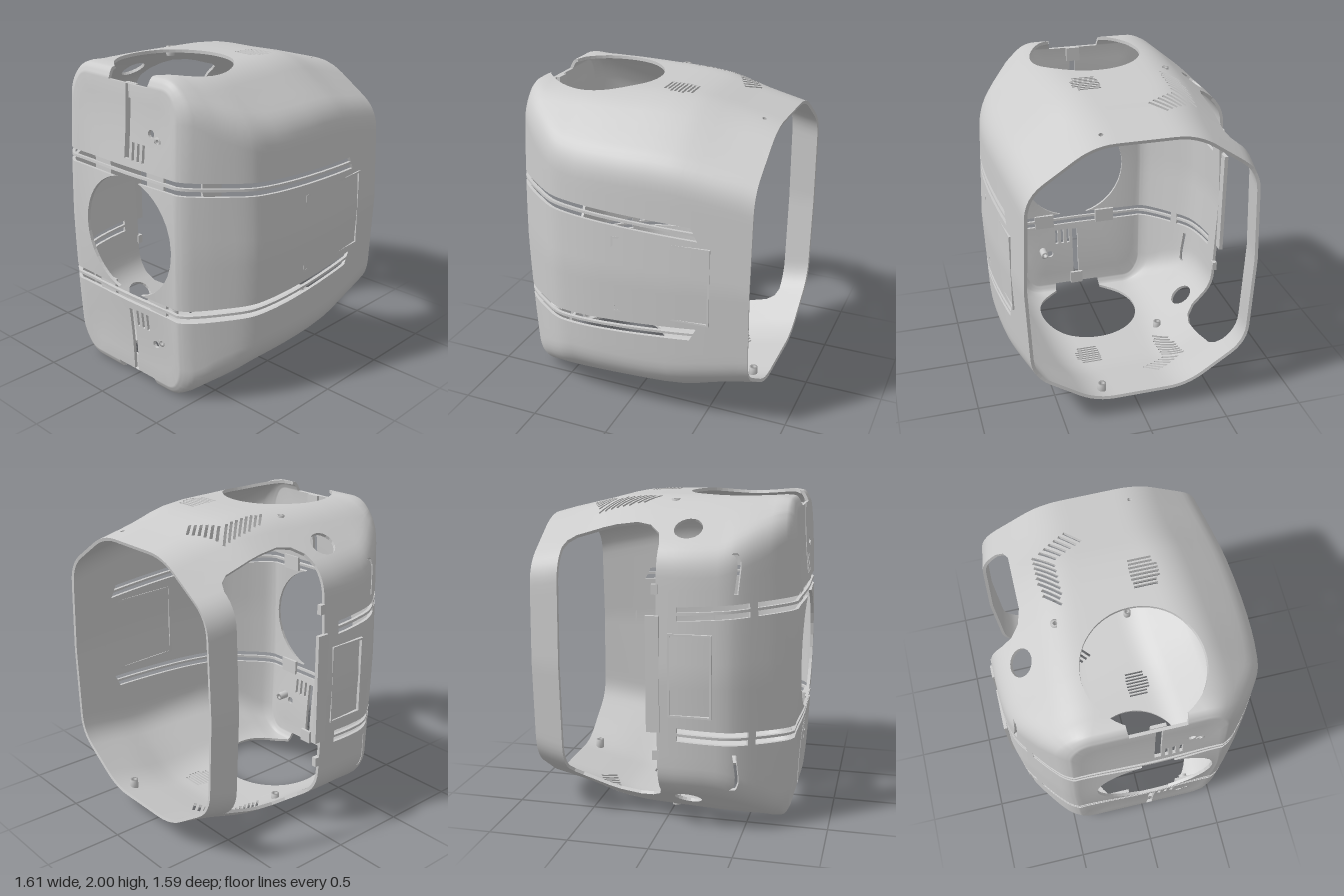
import * as THREE from 'three';

const V = (x, y, z) => new THREE.Vector3(x, y, z);
const mat = new THREE.MeshStandardMaterial({ color: 0xcccccc, side: THREE.DoubleSide });
const WALL = 0.02, N = 28;

// Shell stations: z at sides, z at top, half width, half height, top flat half width, side half height
const stations = [
  [0.785, 0.75, 0.46, 0.93, 0.38, 0.82], [0.765, 0.728, 0.50, 0.975, 0.39, 0.84],
  [0.72, 0.695, 0.55, 0.995, 0.40, 0.85], [0.58, 0.58, 0.665, 1.0, 0.40, 0.80],
  [0.45, 0.45, 0.755, 1.0, 0.40, 0.74], [0.35, 0.35, 0.785, 1.0, 0.40, 0.71],
  [0.1, 0.1, 0.805, 0.998, 0.38, 0.70], [-0.3, -0.3, 0.785, 0.985, 0.34, 0.69],
  [-0.55, -0.55, 0.755, 0.925, 0.30, 0.65], [-0.8, -0.8, 0.72, 0.865, 0.30, 0.60]];
const spline = new THREE.CubicInterpolant(stations.map(s => -s[0]), stations.flat(), 6);

// One quarter of a section, from the side to the top, with rounded corners
function quarter(w, h, a, b) {
  const P = V(w, 0, 0), B = V(w * 0.965, b, 0), A = V(a, h, 0), T = V(0, h, 0);
  const r = Math.min(0.13, B.distanceTo(A) * 0.45);
  const toward = (p, q) => p.clone().addScaledVector(q.clone().sub(p).normalize(), r);
  const b1 = toward(B, P), b2 = toward(B, A), a1 = toward(A, B), a2 = toward(A, T);
  const parts = [[new THREE.LineCurve3(P, b1), 8], [new THREE.QuadraticBezierCurve3(b1, B, b2), 6],
    [new THREE.LineCurve3(b2, a1), 3], [new THREE.QuadraticBezierCurve3(a1, A, a2), 6], [new THREE.LineCurve3(a2, T), 5]];
  return [P, ...parts.flatMap(([c, n]) => c.getPoints(n).slice(1))];
}

function ring(t) {
  const [zs, zt, w, h, a, b] = Array.from(spline.evaluate(t)), q = quarter(w, h, a, b), pts = [];
  for (let j = 0; j < 4 * N; j++) {
    const k = Math.floor(j / N), m = j % N, p = q[k % 2 ? N - m : m];
    pts.push(V(p.x * (k === 1 || k === 2 ? -1 : 1), 1 + p.y * (k > 1 ? -1 : 1), zs + (zt - zs) * (p.y / h) ** 2));
  }
  return pts;
}

// Convex hole as planes around a 2D outline, running along one axis
function prism(pts, axis, ...extra) {
  const to3 = (a, b) => axis === 'y' ? V(a, 0, b) : axis === 'z' ? V(a, b, 0) : V(0, b, a);
  const c = pts.reduce((s, p) => s.add(to3(...p)), V(0, 0, 0)).divideScalar(pts.length);
  const planes = pts.map((p, i) => {
    const q = pts[(i + 1) % pts.length];
    const n = to3(q[1] - p[1], p[0] - q[0]).normalize();
    if (n.dot(c.clone().sub(to3(...p))) > 0) n.negate();
    return new THREE.Plane().setFromNormalAndCoplanarPoint(n, to3(...p));
  });
  return [...planes, ...extra];
}
const oval = (x, y, rx, ry = rx, n = 12) => Array.from({ length: n }, (_, i) =>
  [x + rx * Math.cos(i / n * 2 * Math.PI), y + ry * Math.sin(i / n * 2 * Math.PI)]);
const slot = (x, y, l, w, ang = 0) => [[-1, -1], [1, -1], [1, 1], [-1, 1]].map(([i, j]) => [
  x + i * l / 2 * Math.cos(ang) - j * w / 2 * Math.sin(ang), y + i * l / 2 * Math.sin(ang) + j * w / 2 * Math.cos(ang)]);
const frontOnly = new THREE.Plane(V(0, 0, -1), 0.4);

function makeHoles() {
  const holes = [];
  // Round top and bottom openings, side cutout, oval port
  holes.push(prism(oval(0.05, 0.385, 0.355, 0.355, 56), 'y'));
  holes.push(prism([[-0.95, -0.62], [-0.62, -0.62], [-0.575, -0.6], [-0.55, -0.55], [-0.55, -0.17], [-0.575, -0.08],
    [-0.63, -0.02], [-0.7, 0], [-0.95, 0]], 'y'));
  holes.push(prism(oval(-0.605, 0.15, 0.065, 0.085, 20), 'y'));
  // Top and bottom vents
  for (let i = 0; i < 8; i++) holes.push(prism(slot(0.18 + (i > 1 && i < 6 ? 0.01 : 0), -0.255 + i * 0.0245, i > 1 && i < 6 ? 0.17 : 0.14, 0.013), 'y'));
  for (let i = 0; i < 6; i++) holes.push(prism(slot(-0.16 - i * 0.033, -0.505 + i * 0.017, 0.125, 0.018, Math.PI / 4), 'y'));
  for (let i = 0; i < 8; i++) holes.push(prism(slot(-0.355, -0.39 + i * 0.038, i > 5 ? 0.13 : 0.17, 0.016, Math.PI / 4), 'y'));
  for (const [x, z] of [[0.235, -0.7], [-0.37, 0.02]]) holes.push(prism(oval(x, z, 0.014), 'y'));
  for (const s of [1, -1]) {
    const my = pts => pts.map(([a, b]) => [a, 1 + s * (b - 1)]);
    // Front notch, centre slit, vents, screw holes, narrow corner slot
    holes.push(prism(my([[-0.12, 1.93], [0.21, 1.93], [0.23, 2.1], [-0.14, 2.1]]), 'z', new THREE.Plane(V(0, 0, -1), 0.6)));
    holes.push(prism(my(slot(0.05, 1.71, 0.04, 0.44)), 'z', frontOnly));
    for (const x of [0.103, 0.147, 0.19]) holes.push(prism(my(slot(x, 1.54, 0.02, 0.11)), 'z', frontOnly));
    holes.push(prism(my(oval(0.247, 1.672, 0.025)), 'z', frontOnly), prism(my(oval(0.3, 1.638, 0.014)), 'z', frontOnly));
    holes.push(prism(my([[-0.74, 1.48], [-0.728, 1.48], [-0.708, 1.71], [-0.718, 1.71]]), 'z', frontOnly));
    // Twin belt slots wrapping round the front and sides
    for (const [lo, hi] of [[-0.042, -0.009], [0.007, 0.04]]) {
      const y = (z, d) => 1.356 + 0.058 * z + d;
      const belt = (back, sl) => my([[0.9, y(0.9, lo)], [0.9, y(0.9, hi)], [back + sl * hi, y(back, hi)], [back + sl * lo, y(back, lo)]]);
      holes.push(prism(belt(-0.47, 0.5), 'x', new THREE.Plane(V(-1, 0, 0), -0.66)));
      holes.push(prism(belt(0.12, 0), 'x', new THREE.Plane(V(1, 0, 0), 0.69)));
    }
  }
  return holes;
}

function split(poly, plane) {
  const inside = [], outside = [];
  poly.forEach((a, i) => {
    const b = poly[(i + 1) % poly.length], da = plane.distanceToPoint(a.p), db = plane.distanceToPoint(b.p);
    if (da <= 0) inside.push(a);
    if (da >= 0) outside.push(a);
    if (da * db < 0) {
      const t = da / (da - db), c = { p: a.p.clone().lerp(b.p, t), n: a.n.clone().lerp(b.n, t) };
      inside.push(c); outside.push(c);
    }
  });
  return [inside, outside];
}

// Subtract a convex hole from a polygon and note the cut edges
function cut(poly, planes, edges, hole) {
  if (planes.some(pl => poly.every(v => pl.distanceToPoint(v.p) >= 0))) return [poly];
  const out = [];
  let rest = poly;
  for (const pl of planes) {
    const [i, o] = split(rest, pl);
    if (i.length < 3) return [poly];
    if (o.length > 2) out.push(o);
    rest = i;
  }
  rest.forEach((a, i) => {
    const b = rest[(i + 1) % rest.length];
    if (planes.some(pl => Math.abs(pl.distanceToPoint(a.p)) < 1e-6 && Math.abs(pl.distanceToPoint(b.p)) < 1e-6)) edges.push([a, b, hole]);
  });
  return out;
}

function shellGeometry() {
  // Rings run from the round front opening over the face and back to the rear rim
  const rows = [], face = ring(-stations[0][0]);
  for (let i = 0; i < 7; i++) rows.push(face.map(p => {
    const f = i / 6, ang = Math.atan2(p.y - 1, p.x - 0.05);
    const x = THREE.MathUtils.lerp(0.05 + 0.375 * Math.cos(ang), p.x, f), y = THREE.MathUtils.lerp(1 + 0.375 * Math.sin(ang), p.y, f);
    return V(x, y, THREE.MathUtils.lerp(0.8 - 0.058 * (y - 1) ** 2 - 0.07 * x * x, p.z, f));
  }));
  for (let s = 1; s < stations.length; s++) for (let k = 1; k <= 3; k++)
    rows.push(ring(-THREE.MathUtils.lerp(stations[s - 1][0], stations[s][0], k / 3)));
  const M = 4 * N, pts = rows.flat(), index = [];
  for (let i = 0; i < rows.length - 1; i++) for (let j = 0; j < M; j++) {
    const a = i * M + j, b = a + M, c = i * M + (j + 1) % M, d = c + M;
    index.push(a, b, c, c, b, d);
  }
  const grid = new THREE.BufferGeometry().setFromPoints(pts);
  grid.setIndex(index);
  grid.computeVertexNormals();
  const verts = pts.map((p, i) => ({ p, n: V(0, 0, 0).fromBufferAttribute(grid.attributes.normal, i) }));

  const holes = makeHoles(), edges = [], pos = [], nor = [];
  const put = (p, n) => { pos.push(p.x, p.y, p.z); nor.push(n.x, n.y, n.z); };
  const inner = v => v.p.clone().addScaledVector(v.n, -WALL);
  for (let i = 0; i < index.length; i += 3) {
    let polys = [[verts[index[i]], verts[index[i + 1]], verts[index[i + 2]]]];
    holes.forEach((h, k) => { polys = polys.flatMap(p => cut(p, h, edges, k)); });
    for (const poly of polys) for (let k = 1; k < poly.length - 1; k++) {
      const tri = [poly[0], poly[k], poly[k + 1]];
      tri.forEach(v => put(v.p, v.n));
      tri.reverse().forEach(v => put(inner(v), v.n.clone().negate()));
    }
  }
  // Wall thickness along rims and cut edges
  for (const r of [0, rows.length - 1]) for (let j = 0; j < M; j++) edges.push([verts[r * M + j], verts[r * M + (j + 1) % M], -1]);
  for (const [a, b, hole] of edges) {
    const mid = a.p.clone().lerp(b.p, 0.5);
    if (holes.some((h, k) => k !== hole && h.every(pl => pl.distanceToPoint(mid) < -1e-6))) continue;
    const ai = inner(a), bi = inner(b), n = b.p.clone().sub(a.p).cross(ai.clone().sub(a.p)).normalize();
    [a.p, ai, b.p, b.p, ai, bi].forEach(p => put(p, n));
  }
  const g = new THREE.BufferGeometry();
  g.setAttribute('position', new THREE.Float32BufferAttribute(pos, 3));
  g.setAttribute('normal', new THREE.Float32BufferAttribute(nor, 3));
  return g;
}

export function createModel() {
  const group = new THREE.Group();
  const add = (name, geo, x, y, z) => {
    const m = new THREE.Mesh(geo, mat);
    m.name = name; m.position.set(x, y, z); group.add(m);
    return m;
  };
  add('housingShell', shellGeometry(), 0, 0, 0);

  // Hollow screw posts
  const post = len => new THREE.LatheGeometry([[0.013, 0], [0.027, 0], [0.027, len], [0.013, len], [0.013, 0]].map(p => new THREE.Vector2(...p)), 16);
  // Raised rectangular frame lying in a side wall
  const frame = (w, h, d) => {
    const rect = (a, b) => [[-a, -b], [a, -b], [a, b], [-a, b]].map(p => new THREE.Vector2(...p));
    const s = new THREE.Shape(rect(w / 2, h / 2));
    s.holes.push(new THREE.Path(rect(w / 2 - 0.012, h / 2 - 0.012)));
    return new THREE.ExtrudeGeometry(s, { depth: d, bevelEnabled: false }).translate(0, 0, -d / 2).rotateY(Math.PI / 2);
  };
  for (const s of [1, -1]) {
    for (const [x, y, z] of [[0.235, 0.87, -0.7], [-0.37, 0.98, 0.02]])
      add('screwPost', post(0.06), x, 1 + s * y, z).rotation.x = s > 0 ? Math.PI : 0;
    add('frontPost', post(0.09), 0.3, 1 + s * 0.638, 0.762).rotation.x = -Math.PI / 2;
    for (const x of [-0.18, 0.28]) add('beltBridge', new THREE.BoxGeometry(0.14, 0.1, 0.02), x, 1 + s * 0.4, 0.757);
    add('slitBacking', new THREE.BoxGeometry(0.09, 0.09, 0.02), 0.05, 1 + s * 0.885, 0.718);
    add('cutoutClip', new THREE.BoxGeometry(0.03, 0.06, 0.04), -0.77, 1 + s * 0.5, -0.01);
  }
  add('cutoutLip', new THREE.BoxGeometry(0.025, 0.7, 0.08), -0.795, 1, -0.02);
  add('outerSideFrame', frame(0.26, 0.5, 0.02), -0.795, 1, 0.2);
  add('innerSideFrame', frame(0.6, 0.5, 0.024), 0.764, 1, -0.27).rotation.y = 0.07;
  return group;
}
